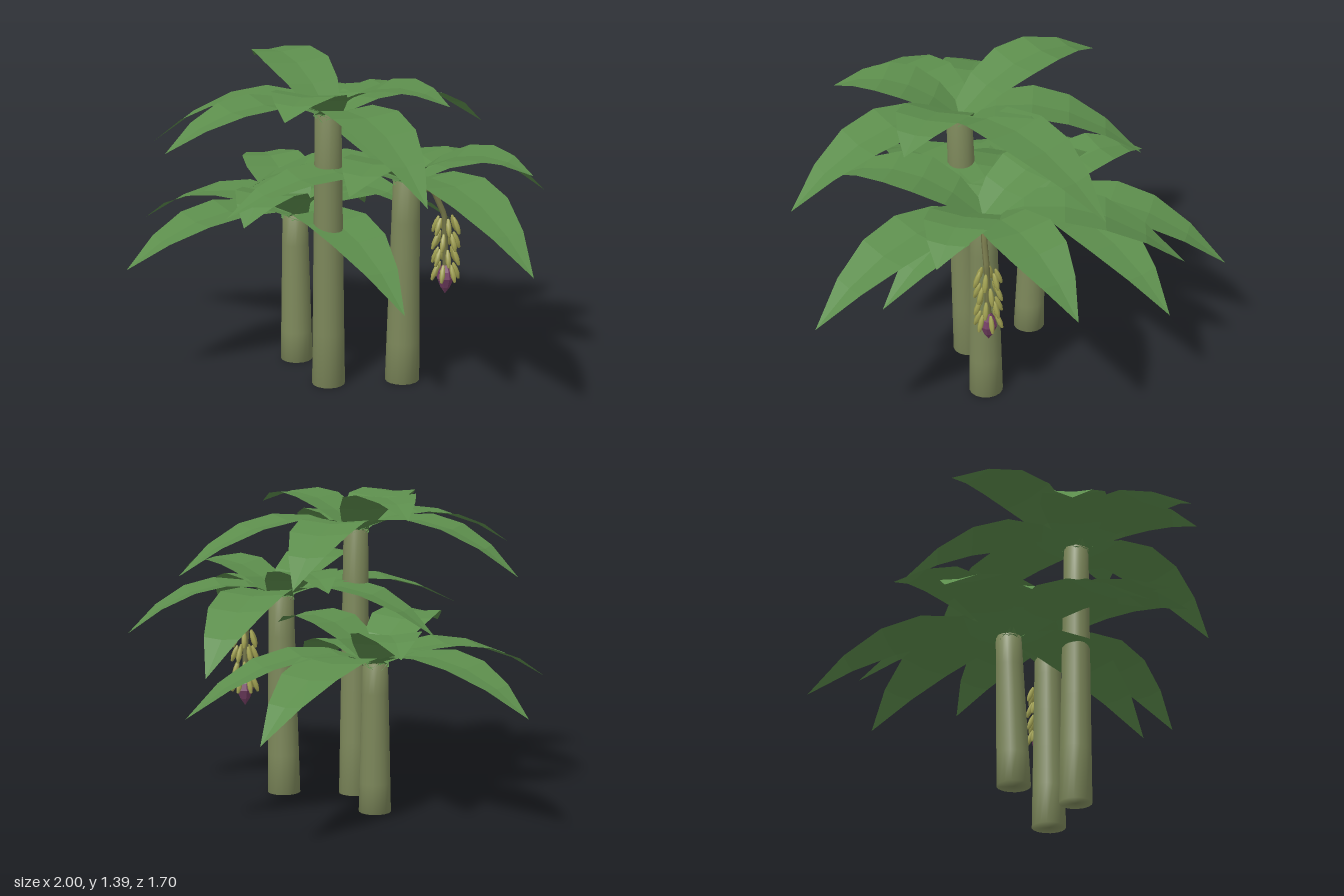
import * as THREE from 'three';
import { mergeVertices } from 'three/addons/utils/BufferGeometryUtils.js';

const mat = (name, color, extra = {}) => {
  const m = new THREE.MeshStandardMaterial({ color, ...extra });
  m.name = name;
  return m;
};

// Leaf outline: [position along the leaf, share of the half width]
const OUTLINE = [[-0.05, 0.32], [0.2, 0.8], [0.4, 1], [0.6, 0.9], [0.8, 0.54], [1, 0]];
const HALF_WIDTH = 0.148;

// Arching, slightly folded blade from the crown to its tip
function leafGeometry(base, tip, upright, lift) {
  const dx = tip[0] - base[0], dz = tip[2] - base[2], dy = tip[1] - base[1];
  const len = Math.hypot(dx, dz);
  const sx = -dz / len, sz = dx / len;
  const rise = upright ? lift + 0.8 * len : 0.34;
  const pos = [], index = [];
  OUTLINE.forEach(([u, w], i) => {
    const y = base[1] + rise * u - (rise - dy) * u * u;
    for (const side of [-1, 0, 1]) {
      const o = side * w * HALF_WIDTH;
      pos.push(base[0] + dx * u + sx * o, y + Math.abs(o) * 0.1, base[2] + dz * u + sz * o);
    }
    if (i === 0) return;
    for (let k = 0; k < 2; k++) {
      const a = (i - 1) * 3 + k, b = a + 3;
      index.push(a, a + 1, b, a + 1, b + 1, b);
    }
  });
  const g = new THREE.BufferGeometry();
  g.setAttribute('position', new THREE.Float32BufferAttribute(pos, 3));
  g.setIndex(index);
  g.computeVertexNormals();
  return g;
}

// Tapered stem between two points, with soft shading at its ends
function stemGeometry(from, to, r0, r1) {
  const h = to[1] - from[1];
  let g = new THREE.CylinderGeometry(r1, r0, h, 16, 5);
  g.deleteAttribute('normal');
  g.deleteAttribute('uv');
  g = mergeVertices(g, 1e-5);
  const p = g.attributes.position;
  for (let i = 0; i < p.count; i++) {
    const t = p.getY(i) / h + 0.5;
    p.setXYZ(i, p.getX(i) + from[0] + (to[0] - from[0]) * t, from[1] + h * t,
      p.getZ(i) + from[2] + (to[2] - from[2]) * t);
  }
  g.computeVertexNormals();
  return g;
}

// Each plant: stem [from, to, lower radius, upper radius], crown point, leaf tips.
// Every third leaf stands upright; lift steepens its start.
const PLANTS = [
  {
    name: 'tallPlant', crown: [0.035, 1.2, 0.29], lift: 0.02,
    stem: [[0.027, 0, 0.27], [0.035, 1.2, 0.29], 0.071, 0.055],
    tips: [[0.58, 1.29, 0.38], [0.5, 1.04, -0.42], [-0.1, 1.03, -0.47], [-0.48, 1.31, -0.19],
      [-0.73, 1.03, 0.35], [-0.46, 1.12, 0.82], [0.05, 1.29, 0.83], [0.63, 1.01, 0.85]],
  },
  {
    name: 'middlePlant', crown: [0.325, 0.9, 0.125], lift: 0.02,
    stem: [[0.314, 0, 0.125], [0.325, 0.9, 0.125], 0.075, 0.057],
    tips: [[0.88, 0.98, 0.18], [0.81, 0.76, -0.37], [0.17, 0.68, -0.71], [-0.13, 0.99, -0.23],
      [-0.42, 0.77, 0.18], [-0.25, 0.84, 0.71], [0.29, 1.0, 0.77], [1.0, 0.71, 0.65]],
  },
  {
    name: 'shortPlant', crown: [-0.215, 0.665, 0.02], lift: 0.12,
    stem: [[-0.205, 0, 0.04], [-0.215, 0.665, 0.02], 0.071, 0.055],
    tips: [[0.34, 0.77, 0.1], [0.3, 0.49, -0.67], [-0.18, 0.47, -0.85], [-0.57, 0.78, -0.41],
      [-1.0, 0.53, -0.12], [-0.73, 0.55, 0.65], [-0.22, 0.77, 0.6], [0.45, 0.45, 0.54]],
  },
];

export function createModel() {
  const green = mat('leaf green', 0x5c8d4c, { side: THREE.DoubleSide, flatShading: true });
  const olive = mat('stem olive', 0x7c875a);
  const stalkMat = mat('stalk olive', 0x737548);
  const fruitMat = mat('fruit yellow green', 0xa2a252);
  const purple = mat('bud purple', 0x743f64, { flatShading: true });

  const model = new THREE.Group();
  model.name = 'plantCluster';
  const add = (parent, name, geometry, material) => {
    const m = new THREE.Mesh(geometry, material);
    m.name = name;
    parent.add(m);
    return m;
  };

  for (const plant of PLANTS) {
    const group = new THREE.Group();
    group.name = plant.name;
    model.add(group);
    add(group, 'stem', stemGeometry(...plant.stem), olive);
    plant.tips.forEach((tip, i) => {
      const upright = i % 3 === 0;
      add(group, upright ? 'uprightLeaf' : 'droopingLeaf', leafGeometry(plant.crown, tip, upright, plant.lift), green);
    });
  }

  // Hanging fruit bunch
  const bunch = new THREE.Group();
  bunch.name = 'fruitBunch';
  model.add(bunch);
  const path = new THREE.CurvePath();
  const bends = [[0.34, 0.88, 0.115], [0.435, 0.855, 0.095], [0.48, 0.74, 0.075], [0.485, 0.5, 0.07]]
    .map((p) => new THREE.Vector3(...p));
  for (let i = 1; i < bends.length; i++) path.add(new THREE.LineCurve3(bends[i - 1], bends[i]));
  add(bunch, 'stalk', new THREE.TubeGeometry(path, 16, 0.013, 6), stalkMat);

  // Rings of slim fruits leaning outward
  const fruitProfile = [[0, -0.04], [0.006, -0.037], [0.012, -0.012], [0.011, 0.015], [0.005, 0.038], [0, 0.04]];
  const fruit = new THREE.LatheGeometry(fruitProfile.map((p) => new THREE.Vector2(...p)), 6);
  const down = new THREE.Vector3(0, -1, 0);
  for (let row = 0; row < 4; row++) {
    for (let k = 0; k < 6; k++) {
      const a = (k + (row % 2) * 0.5) * Math.PI / 3;
      const c = Math.cos(a), s = Math.sin(a);
      const m = add(bunch, 'fruit', fruit, fruitMat);
      m.position.set(0.485 + 0.046 * c, 0.7 - row * 0.069, 0.07 + 0.046 * s);
      m.quaternion.setFromUnitVectors(down, new THREE.Vector3(0.36 * c, -1, 0.36 * s).normalize());
    }
  }

  // Pointed flower bud
  const budProfile = [[0, 0.393], [0.022, 0.425], [0.038, 0.465], [0.03, 0.495], [0.012, 0.525], [0, 0.527]];
  const bud = add(bunch, 'flowerBud', new THREE.LatheGeometry(budProfile.map((p) => new THREE.Vector2(...p)), 8), purple);
  bud.position.set(0.485, 0, 0.07);
  return model;
}
